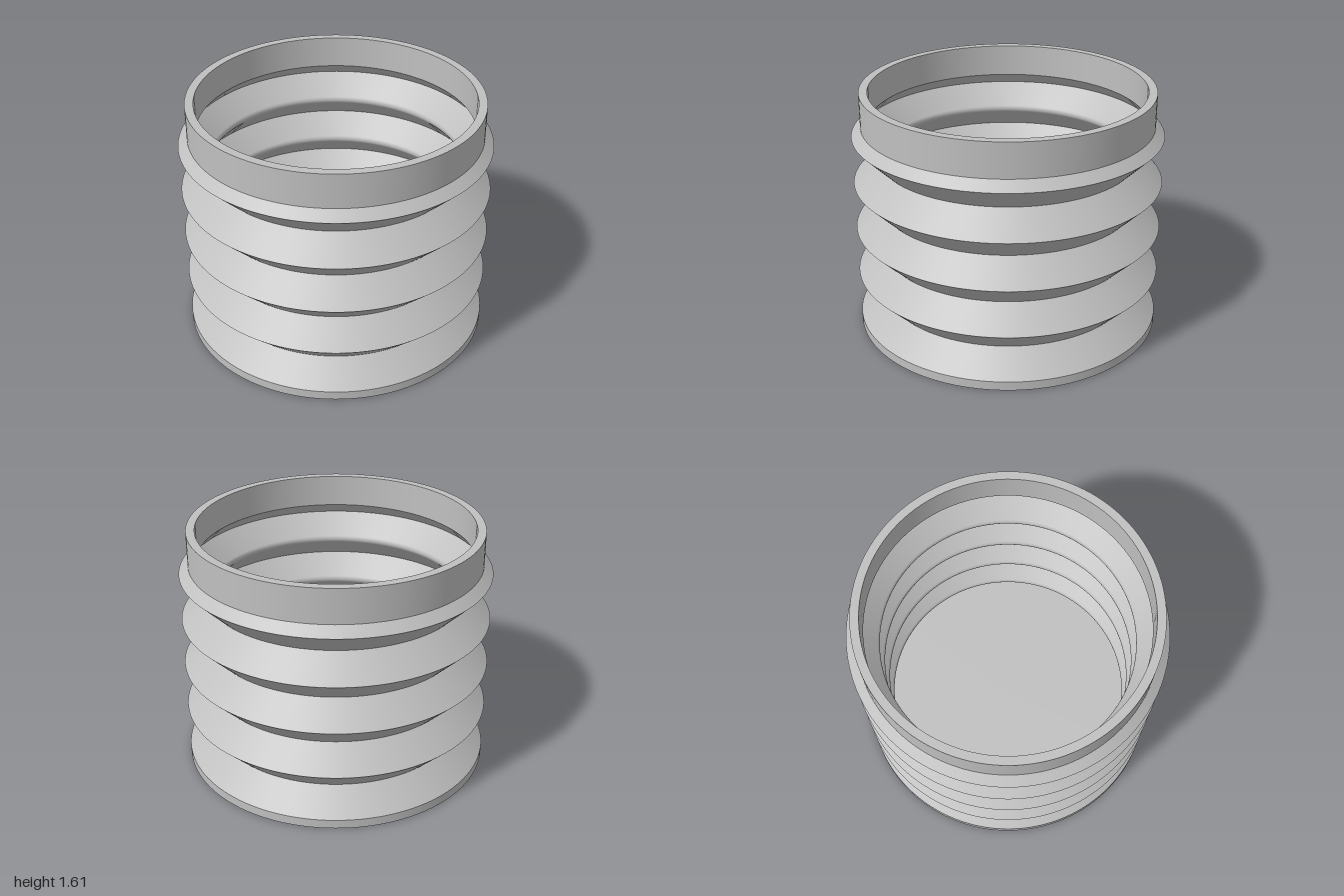
import * as THREE from 'three';
import { mergeGeometries } from 'three/addons/utils/BufferGeometryUtils.js';

const SEGMENTS = 128;
const FOLDS = 4, PITCH = 0.315, FIRST_VALLEY = 0.217;
const PEAK_R = 1, VALLEY_R = 0.843, WALL = 0.034;

// Revolves each run of [radius, y] points on its own, so edges between runs stay sharp.
function revolve(runs) {
  return mergeGeometries(runs.map((run) =>
    new THREE.LatheGeometry(run.map(([r, y]) => new THREE.Vector2(r, y)), SEGMENTS)));
}

// Splits a polyline into straight runs with a hard edge at every point.
const hardRuns = (points) => points.slice(1).map((p, i) => [points[i], p]);

export function createModel() {
  const group = new THREE.Group();
  const grey = new THREE.MeshStandardMaterial({ color: 0xc0c0c0 });
  grey.name = 'grey';
  const add = (name, runs) => {
    const mesh = new THREE.Mesh(revolve(runs), grey);
    mesh.name = name;
    group.add(mesh);
  };

  const innerPeakR = PEAK_R - WALL * Math.SQRT2;
  const valleyY = (i) => FIRST_VALLEY + i * PITCH;
  const peakY = (i) => valleyY(i) + PITCH / 2;

  // Flat underside, short base band and the floor inside
  add('base', hardRuns([[0, 0], [PEAK_R, 0], [PEAK_R, 0.06]]));
  add('floor', hardRuns([[0.966, 0.044], [0.966, WALL], [0, WALL]]));

  // Outer zigzag of the bellows
  const outer = [[PEAK_R, 0.06]];
  for (let i = 0; i < FOLDS; i++) outer.push([VALLEY_R, valleyY(i)], [PEAK_R, peakY(i)]);
  outer.push([0.94, 1.38]);
  add('bellowsOutside', hardRuns(outer));

  // Inner zigzag, from the top down, with rounded crests behind each valley
  const inner = [[[0.885, 1.395], [innerPeakR, peakY(FOLDS - 1)]]];
  for (let i = FOLDS - 1; i >= 0; i--) {
    const run = [[innerPeakR, peakY(i)]];
    for (let k = 0; k <= 6; k++) {
      const a = Math.PI / 4 - (k / 6) * Math.PI / 2;
      run.push([VALLEY_R - WALL * Math.cos(a), valleyY(i) + WALL * Math.sin(a)]);
    }
    run.push(i > 0 ? [innerPeakR, peakY(i - 1)] : [0.966, 0.044]);
    inner.push(run);
  }
  add('bellowsInside', inner);

  // Straight collar with a flat rim
  add('collar', hardRuns([[0.94, 1.38], [0.94, 1.605], [0.885, 1.605], [0.885, 1.395]]));

  return group;
}
